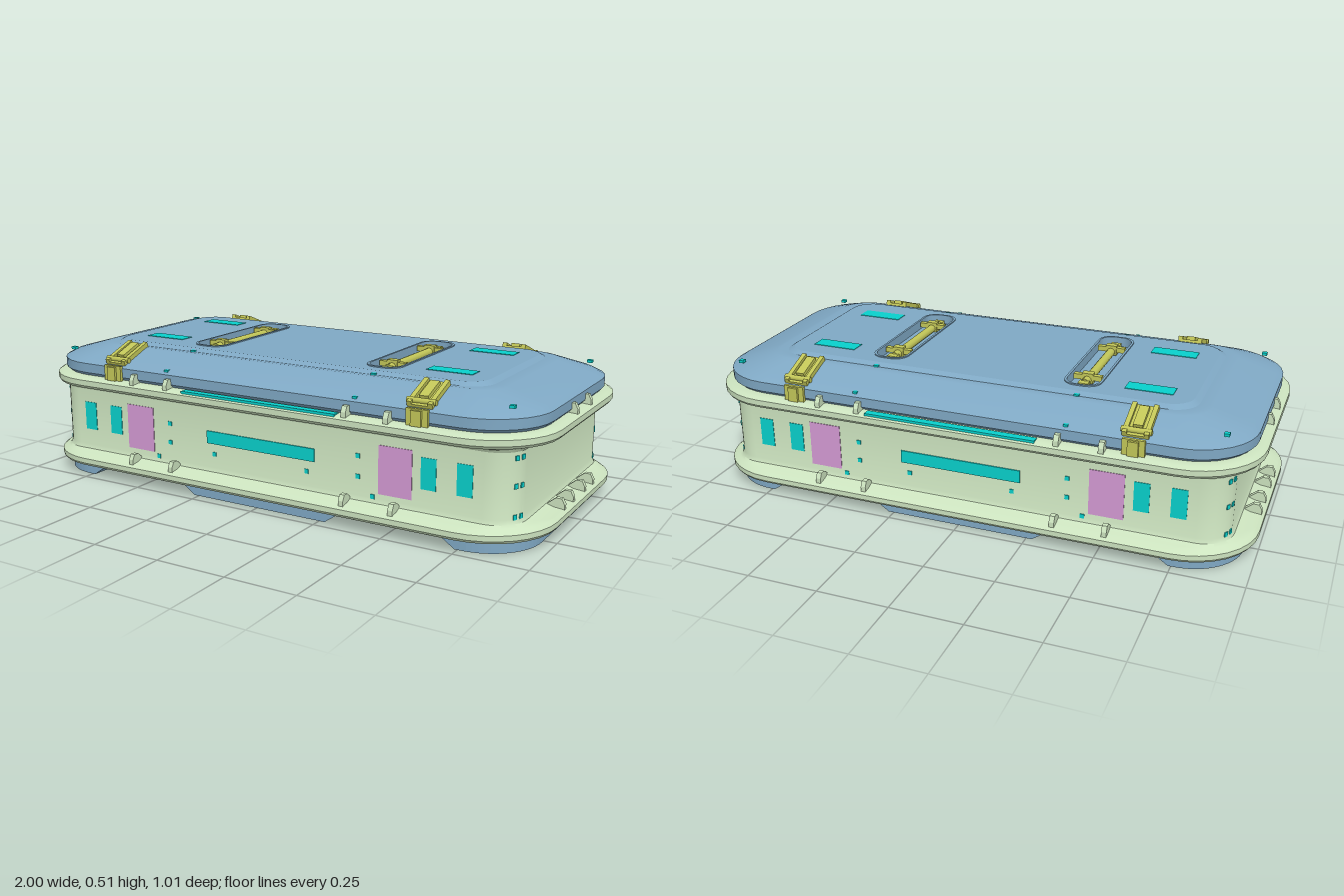
import * as THREE from 'three';
import { toCreasedNormals } from 'three/addons/utils/BufferGeometryUtils.js';

const mat = (color) => new THREE.MeshStandardMaterial({ color });
const GREEN = mat(0xcce3bf), BLUE = mat(0x7fa8c4), CYAN = mat(0x08d0cb);
const PINK = mat(0xd49ad4), YELLOW = mat(0xc2c658);

function add(parent, name, geometry, material, x = 0, y = 0, z = 0) {
  const m = new THREE.Mesh(geometry, material);
  m.name = name;
  m.position.set(x, y, z);
  parent.add(m);
  return m;
}
const box = (p, name, material, w, h, d, x, y, z) =>
  add(p, name, new THREE.BoxGeometry(w, h, d), material, x, y, z);

// Rounded rectangle outline, the same number of points for every size
function outline(hx, hz, r, seg = 8) {
  const pts = [];
  [[1, 1], [-1, 1], [-1, -1], [1, -1]].forEach(([sx, sz], q) => {
    for (let i = 0; i <= seg; i++) {
      const a = (q + i / seg) * Math.PI / 2;
      pts.push([sx * (hx - r) + r * Math.cos(a), sz * (hz - r) + r * Math.sin(a)]);
    }
  });
  return pts;
}

// Skin over rings [halfX, halfZ, cornerRadius, y], from bottom to top
function loft(rings, capBottom, capTop) {
  const pos = [], index = [], n = 36;
  for (const [hx, hz, r, y] of rings) for (const [x, z] of outline(hx, hz, r)) pos.push(x, y, z);
  for (let k = 0; k < rings.length - 1; k++) {
    for (let i = 0; i < n; i++) {
      const a = k * n + i, b = k * n + (i + 1) % n;
      index.push(a, a + n, b, b, a + n, b + n);
    }
  }
  const last = (rings.length - 1) * n;
  for (let i = 1; i < n - 1; i++) {
    if (capBottom) index.push(0, i, i + 1);
    if (capTop) index.push(last, last + i + 1, last + i);
  }
  const g = new THREE.BufferGeometry();
  g.setAttribute('position', new THREE.Float32BufferAttribute(pos, 3));
  g.setIndex(index);
  return toCreasedNormals(g, 0.5);
}

// Flat shape raised from y0 to y1
function slab(shape, y0, y1) {
  const g = new THREE.ExtrudeGeometry(shape, { depth: y1 - y0, bevelEnabled: false, curveSegments: 8 });
  return g.rotateX(-Math.PI / 2).translate(0, y0, 0);
}
const toPoints = (pts, dx = 0) => pts.map(([x, z]) => new THREE.Vector2(x + dx, z));

// Underside pads, with sloped inner edges
function addBase(root) {
  const base = new THREE.Group();
  base.name = 'base';
  root.add(base);
  add(base, 'basePlate', loft([[0.955, 0.46, 0.2, 0.035], [0.96, 0.465, 0.2, 0.055]], true, true), BLUE);
  const lean = (g, edges) => {
    const p = g.attributes.position;
    for (let i = 0; i < p.count; i++) {
      const x = p.getX(i);
      if (p.getY(i) > 0.03 && Math.abs(x) < 0.75) p.setX(i, x + Math.sign(x) * edges);
    }
    g.computeVertexNormals();
    return g;
  };
  const mid = new THREE.Shape(toPoints([[-0.27, -0.46], [0.27, -0.46], [0.27, 0.46], [-0.27, 0.46]]));
  add(base, 'centrePad', lean(slab(mid, 0.006, 0.04), 0.05), BLUE);
  for (const s of [-1, 1]) {
    const end = new THREE.Shape();
    end.moveTo(s * 0.74, -0.46);
    end.lineTo(s * 0.76, -0.46);
    end.absarc(s * 0.76, -0.265, 0.195, -Math.PI / 2, s > 0 ? 0 : -Math.PI, s < 0);
    end.absarc(s * 0.76, 0.265, 0.195, s > 0 ? 0 : Math.PI, Math.PI / 2, s < 0);
    end.lineTo(s * 0.74, 0.46);
    add(base, 'endPad', lean(slab(end, 0.006, 0.04), -0.05), BLUE);
  }
}

// Shell with two wide flanges
function addBody(root) {
  const body = new THREE.Group();
  body.name = 'body';
  root.add(body);
  add(body, 'shell', loft([
    [0.965, 0.47, 0.22, 0.042], [0.99, 0.495, 0.24, 0.05], [0.998, 0.503, 0.25, 0.06],
    [0.998, 0.503, 0.25, 0.078], [0.985, 0.49, 0.24, 0.088], [0.95, 0.465, 0.16, 0.092],
    [0.928, 0.446, 0.11, 0.1], [0.92, 0.44, 0.1, 0.115],
    [0.92, 0.44, 0.1, 0.33], [0.928, 0.446, 0.11, 0.34], [0.96, 0.47, 0.18, 0.346],
    [0.99, 0.495, 0.24, 0.35], [0.998, 0.503, 0.25, 0.36], [0.998, 0.503, 0.25, 0.38],
    [0.985, 0.49, 0.24, 0.388], [0.96, 0.47, 0.22, 0.39],
  ], true, true), GREEN);

  // Small ribs standing on the flanges
  const ribShape = new THREE.Shape(toPoints([[-0.045, 0], [0.018, 0], [0.018, 0.018], [0.008, 0.037], [-0.012, 0.037], [-0.045, 0.01]]));
  const rib = new THREE.ExtrudeGeometry(ribShape, { depth: 0.018, bevelEnabled: false });
  rib.translate(0, 0, -0.009);
  const addRib = (x, y, z, turn) => { add(body, 'flangeRib', rib, GREEN, x, y, z).rotation.y = turn; };
  for (const s of [-1, 1]) {
    for (const x of [-0.53, -0.35, 0.35, 0.53]) addRib(x, 0.086, s * 0.475, -s * Math.PI / 2);
    for (const x of [-0.51, -0.36, 0.36, 0.51]) addRib(x, 0.386, s * 0.478, -s * Math.PI / 2);
    for (const z of [-0.15, -0.06, 0.06, 0.15]) addRib(s * 0.97, 0.086, z, s > 0 ? 0 : Math.PI);
    for (const z of [-0.07, 0.07]) addRib(s * 0.97, 0.386, z, s > 0 ? 0 : Math.PI);
  }

  // Coloured panels and light strips on the long walls
  for (const s of [-1, 1]) {
    const z = s * 0.44;
    box(body, 'sideStrip', CYAN, 0.44, 0.045, 0.008, 0, 0.225, z);
    box(body, 'flangeStrip', CYAN, 0.615, 0.01, 0.028, 0.02, 0.388, s * 0.482);
    for (const t of [-1, 1]) {
      box(body, 'sidePanel', PINK, 0.12, 0.165, 0.004, t * 0.52, 0.215, z);
      for (const x of [0.637, 0.76]) box(body, 'sideMarker', CYAN, 0.053, 0.105, 0.004, t * x, 0.228, z);
      for (const [x, y] of [[0.385, 0.25], [0.385, 0.18], [0.44, 0.12], [0.19, 0.165]])
        box(body, 'stud', CYAN, 0.015, 0.015, 0.006, t * x, y, z);
      // Studs up the rounded corners
      for (const a of [0.25, 0.52]) for (const y of [0.12, 0.22, 0.31]) {
        const m = box(body, 'cornerStud', CYAN, 0.006, 0.016, 0.014,
          t * (0.82 + 0.1 * Math.cos(a)), y, s * (0.34 + 0.1 * Math.sin(a)));
        m.rotation.y = -s * t * a;
      }
    }
  }
}

// Carry handle lying in its recess
function addHandle(parent, x) {
  const h = new THREE.Group();
  h.name = 'handle';
  h.position.x = x;
  parent.add(h);
  const bar = new THREE.CylinderGeometry(0.015, 0.015, 0.38, 12).rotateX(Math.PI / 2);
  add(h, 'handleBar', bar, YELLOW, 0, 0.488, 0);
  for (const s of [-1, 1]) {
    box(h, 'handleBracket', YELLOW, 0.1, 0.018, 0.02, 0, 0.496, s * 0.147);
    box(h, 'bracketTop', YELLOW, 0.04, 0.036, 0.026, 0, 0.494, s * 0.147);
    box(h, 'handleFoot', YELLOW, 0.036, 0.026, 0.03, 0, 0.484, s * 0.2);
  }
}

// Sloped lid with recessed handles
function addLid(root) {
  const lid = new THREE.Group();
  lid.name = 'lid';
  root.add(lid);
  add(lid, 'lidShell', loft([
    [0.955, 0.455, 0.21, 0.388], [0.968, 0.47, 0.22, 0.402], [0.968, 0.47, 0.22, 0.436],
    [0.945, 0.447, 0.21, 0.45], [0.81, 0.345, 0.11, 0.489], [0.795, 0.333, 0.1, 0.492],
    [0.765, 0.312, 0.09, 0.491], [0.745, 0.295, 0.08, 0.503],
  ], false, false), BLUE);
  const top = new THREE.Shape(toPoints(outline(0.745, 0.295, 0.08)));
  for (const s of [-1, 1]) top.holes.push(new THREE.Path(toPoints(outline(0.058, 0.245, 0.045), s * 0.36)));
  add(lid, 'topPanel', slab(top, 0.472, 0.503), BLUE);
  for (const s of [-1, 1]) {
    box(lid, 'recessFloor', BLUE, 0.13, 0.006, 0.51, s * 0.36, 0.47, 0);
    // Raised rim round the recess
    const rim = new THREE.Shape(toPoints(outline(0.066, 0.253, 0.05)));
    rim.holes.push(new THREE.Path(toPoints(outline(0.058, 0.245, 0.045))));
    add(lid, 'recessRim', slab(rim, 0.5, 0.507), BLUE, s * 0.36);
    addHandle(lid, s * 0.36);
    for (const z of [-0.19, 0.17]) box(lid, 'topMarker', CYAN, 0.165, 0.004, 0.06, s * 0.59, 0.503, z);
    for (const t of [-1, 1]) {
      box(lid, 'lidStud', CYAN, 0.018, 0.01, 0.018, s * 0.882, 0.466, t * 0.38);
      box(lid, 'lidStud', CYAN, 0.018, 0.008, 0.014, s * 0.37, 0.493, t * 0.31);
      box(lid, 'lidStud', CYAN, 0.016, 0.008, 0.014, s * 0.38, 0.446, t * 0.452);
    }
  }
}

// Latch: sloped frame on the lid and a clasp hooking the flange
function addLatch(root, x, s) {
  const latch = new THREE.Group();
  latch.name = 'latch';
  latch.position.x = x;
  latch.rotation.y = s > 0 ? 0 : Math.PI;
  root.add(latch);
  const frame = new THREE.Group();
  frame.name = 'latchFrame';
  frame.position.set(0, 0.474, 0.395);
  frame.rotation.x = 0.365;
  latch.add(frame);
  box(frame, 'latchPlate', YELLOW, 0.085, 0.01, 0.14, 0, -0.002, 0);
  for (const t of [-1, 1]) box(frame, 'latchRail', YELLOW, 0.016, 0.018, 0.14, t * 0.036, 0.004, 0);
  box(frame, 'latchLever', YELLOW, 0.032, 0.018, 0.09, 0, 0.007, -0.01);
  const pin = new THREE.CylinderGeometry(0.01, 0.01, 0.1, 10).rotateZ(Math.PI / 2);
  add(frame, 'latchPin', pin, YELLOW, 0, 0.006, 0.05);
  box(latch, 'claspPlate', YELLOW, 0.075, 0.055, 0.012, 0, 0.417, 0.474);
  box(latch, 'claspHook', YELLOW, 0.036, 0.05, 0.016, 0, 0.415, 0.481);
}

export function createModel() {
  const root = new THREE.Group();
  root.name = 'equipmentCase';
  addBase(root);
  addBody(root);
  addLid(root);
  for (const x of [-0.61, 0.61]) for (const s of [-1, 1]) addLatch(root, x, s);
  return root;
}
